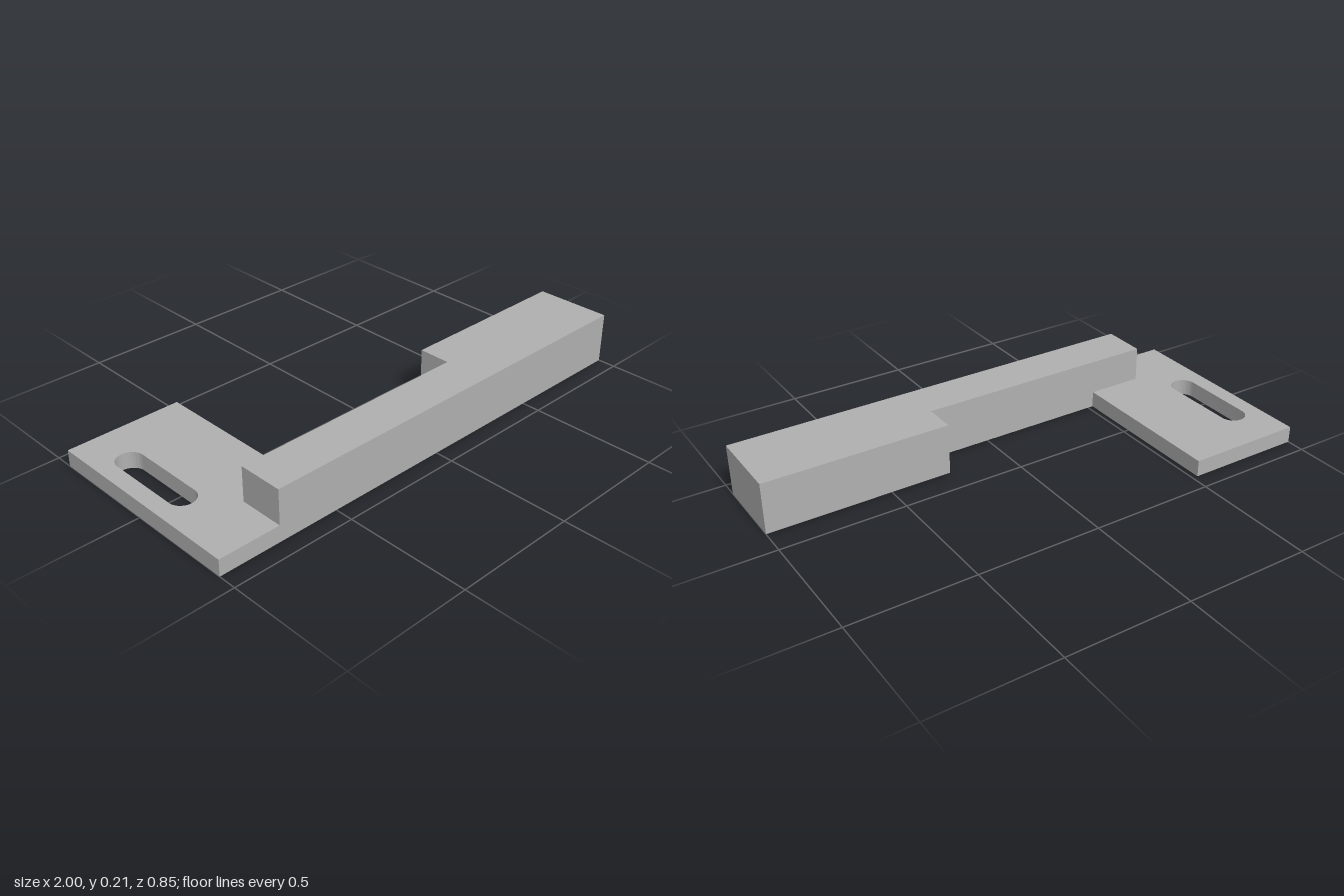
import * as THREE from 'three';
import { toCreasedNormals } from 'three/addons/utils/BufferGeometryUtils.js';

const grey = new THREE.MeshStandardMaterial({ color: 0xb0b0b0 });
grey.name = 'plainGrey';

// Closed outline from [x, z] points; z is flipped because the extrusion is laid flat
const outline = (points) => new THREE.Shape(points.map(([x, z]) => new THREE.Vector2(x, -z)));

// Extrudes an outline upward from the ground, keeping hard edges and smooth curves
function slab(name, shape, height) {
  const geometry = new THREE.ExtrudeGeometry(shape, { depth: height, bevelEnabled: false, curveSegments: 24 });
  geometry.rotateX(-Math.PI / 2);
  const mesh = new THREE.Mesh(toCreasedNormals(geometry, Math.PI / 6), grey);
  mesh.name = name;
  return mesh;
}

export function createModel() {
  const group = new THREE.Group();
  group.name = 'slottedBracket';
  const front = 0.427, barBack = 0.245, barEnd = -0.75;

  // Thin mounting plate, notched where the bar stands
  const plate = outline([
    [-1, front], [barEnd, front], [barEnd, barBack],
    [-0.523, barBack], [-0.523, -front], [-1, -front],
  ]);

  // Rounded adjustment slot
  const slotX = -0.879, r = 0.053, zBack = -0.22, zFront = 0.08;
  const slot = new THREE.Path();
  slot.absarc(slotX, -zBack, r, 0, Math.PI, false);
  slot.absarc(slotX, -zFront, r, Math.PI, Math.PI * 2, false);
  slot.closePath();
  plate.holes.push(slot);
  group.add(slab('mountingPlate', plate, 0.067));

  // Tall arm with a wider block at its free end
  const arm = outline([
    [barEnd, front], [1, front], [1, 0.113],
    [0.25, 0.113], [0.25, barBack], [barEnd, barBack],
  ]);
  group.add(slab('steppedArm', arm, 0.208));

  return group;
}
